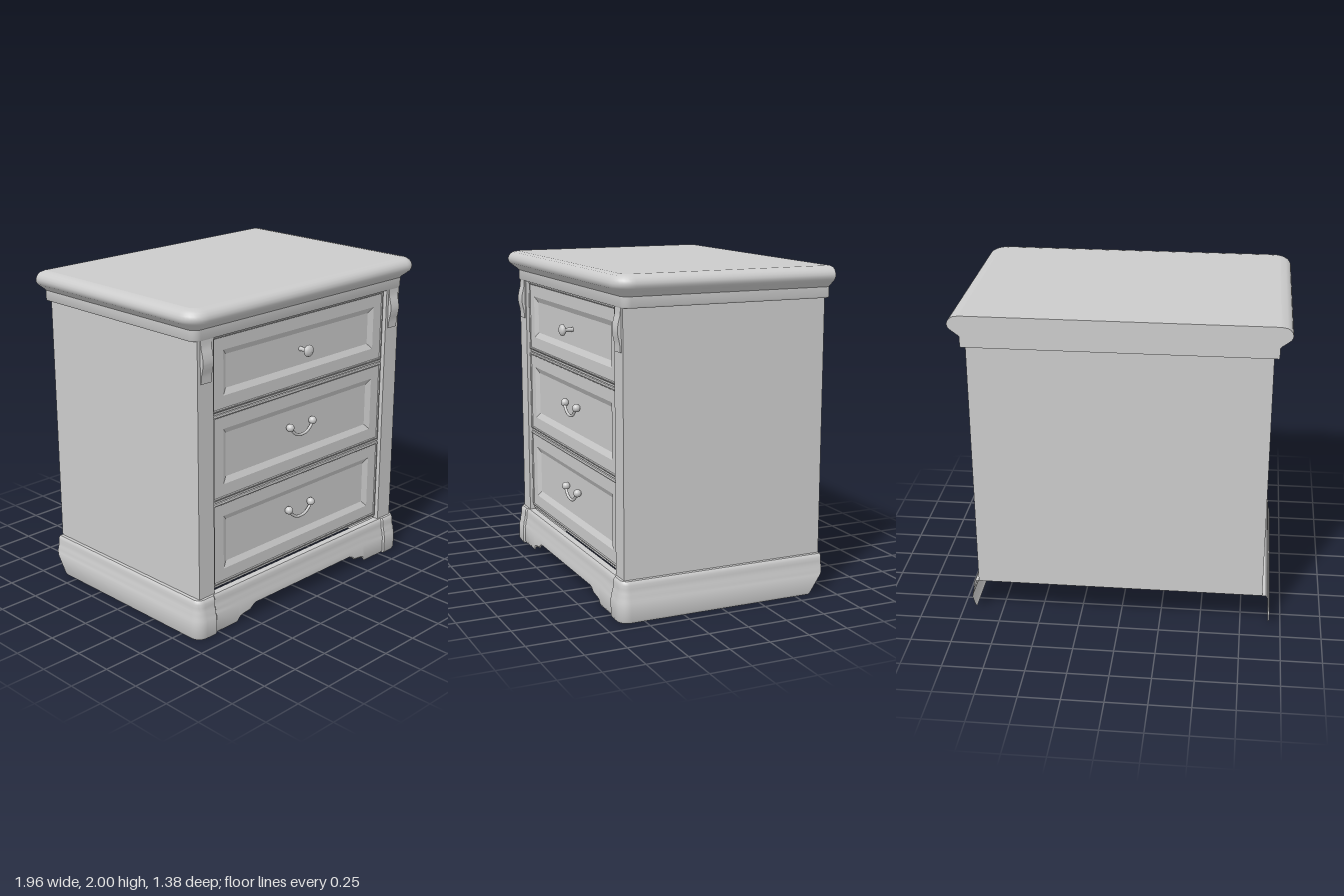
import * as THREE from 'three';
import { toCreasedNormals } from 'three/addons/utils/BufferGeometryUtils.js';

const mat = new THREE.MeshStandardMaterial({ color: 0xcccccc, side: THREE.DoubleSide });

function add(parent, name, geo, x = 0, y = 0, z = 0) {
  const mesh = new THREE.Mesh(geo, mat);
  mesh.name = name;
  mesh.position.set(x, y, z);
  parent.add(mesh);
  return mesh;
}

function indexed(positions, index, crease) {
  const geo = new THREE.BufferGeometry();
  geo.setAttribute('position', new THREE.Float32BufferAttribute(positions, 3));
  geo.setIndex(index);
  return toCreasedNormals(geo, crease);
}

// U-shaped path: +x side, rounded front corners, -x side; each entry is corner centre + normal
function uPath(hx, hz, r, back, frontXs = []) {
  const path = [], steps = 8, cx = hx - r, cz = hz - r;
  path.push({ x: cx, z: back, nx: 1, nz: 0 });
  for (let i = 0; i <= steps; i++) {
    const a = (i / steps) * Math.PI / 2;
    path.push({ x: cx, z: cz, nx: Math.cos(a), nz: Math.sin(a) });
  }
  for (const x of frontXs) path.push({ x, z: cz, nx: 0, nz: 1 });
  const mirrored = path.map(p => ({ ...p, x: -p.x, nx: -p.nx })).reverse();
  return path.concat(mirrored);
}

// Sweep a profile of [offset, height] pairs (bottom to top) along the path
function sweep(path, r, profile, warp = p => p) {
  const pos = [], idx = [], n = profile.length;
  path.forEach((p, i) => {
    profile.forEach(([off, y], j) => {
      const d = r + off;
      const v = warp({ x: p.x + p.nx * d, y, z: p.z + p.nz * d }, p);
      pos.push(v.x, v.y, v.z);
      if (i < path.length - 1 && j < n - 1) {
        const a = i * n + j, b = a + n;
        idx.push(a, a + 1, b + 1, a, b + 1, b);
      }
    });
  });
  return indexed(pos, idx, 0.6);
}

// Moulded top with flat lid and closed back
function buildTop() {
  const g = new THREE.Group();
  g.name = 'top';
  const hx = 0.98, r = 0.12, back = -0.69;
  const profile = [[-0.12, 1.81], [-0.075, 1.81], [-0.07, 1.82], [-0.07, 1.875], [-0.06, 1.885],
    [-0.03, 1.907], [-0.01, 1.923], [-0.002, 1.937], [0, 1.952], [-0.005, 1.968],
    [-0.016, 1.983], [-0.034, 1.994], [-0.07, 2]];
  const path = uPath(hx, 0.69, r, back);
  add(g, 'topMoulding', sweep(path, r, profile));

  const d = r - 0.07;
  const lid = new THREE.Shape(path.map(p => new THREE.Vector2(p.x + p.nx * d, -(p.z + p.nz * d))));
  add(g, 'topLid', new THREE.ShapeGeometry(lid).rotateX(-Math.PI / 2), 0, 2, 0);

  const half = profile.map(([o, y]) => new THREE.Vector2(hx + o, y));
  const other = half.map(v => new THREE.Vector2(-v.x, v.y)).reverse();
  add(g, 'topBack', new THREE.ShapeGeometry(new THREE.Shape(half.concat(other))), 0, 0, back);
  return g;
}

// Plinth skirt: arched cut-out in front, slanted ends at the back
function buildPlinth() {
  const r = 0.07;
  const notch = [[0.785, 0], [0.775, 0.005], [0.595, 0.005], [0.575, 0.03], [0.545, 0.04],
    [0.49, 0.046], [0.465, 0.068], [0.44, 0.08]];
  const profile = [[-0.008, 0], [0, 0.015], [0, 0.12], [-0.006, 0.135], [-0.007, 0.155],
    [-0.013, 0.175], [-0.016, 0.2], [-0.016, 0.222], [-0.021, 0.237], [-0.028, 0.245], [-0.07, 0.245]];
  const path = uPath(0.93, 0.655, r, -0.68, notch.map(n => n[0]));
  const warp = (v, p) => {
    const rise = notch.find(n => n[0] === Math.abs(p.x));
    if (rise && p.nz === 1) {
      if (v.y < 0.12) v.y += rise[1] * (1 - v.y / 0.12);
      if (Math.abs(p.x) < 0.78) v.z -= 0.01;
    }
    if (p.z < 0 && v.y < 0.135) v.z += 0.09 * (1 - v.y / 0.135);
    return v;
  };
  return sweep(path, r, profile, warp);
}

// Drawer front: nested rectangles [inset, z] with a raised rim and a sunken field
function drawerFront(w, h) {
  const rings = [[0, 0.56], [0, 0.588], [0.006, 0.594], [0.012, 0.594], [0.016, 0.588],
    [0.09, 0.588], [0.125, 0.57]];
  const pos = [], idx = [];
  rings.forEach(([inset, z], k) => {
    const x = w / 2 - inset, y = h / 2 - inset;
    pos.push(-x, -y, z, x, -y, z, x, y, z, -x, y, z);
    if (k === rings.length - 1) return;
    for (let c = 0; c < 4; c++) {
      const a = k * 4 + c, b = k * 4 + (c + 1) % 4;
      idx.push(a, b, b + 4, a, b + 4, a + 4);
    }
  });
  const e = (rings.length - 1) * 4;
  idx.push(e, e + 1, e + 2, e, e + 2, e + 3);
  return indexed(pos, idx, 0.1);
}

// Drop handle: two round studs joined by a hanging bow
function buildHandle() {
  const g = new THREE.Group();
  g.name = 'handle';
  for (const s of [-1, 1]) {
    add(g, 'handleStud', new THREE.SphereGeometry(0.025, 20, 14), s * 0.1, 0, 0.592);
    add(g, 'handleStem', new THREE.CylinderGeometry(0.012, 0.012, 0.03, 12).rotateX(Math.PI / 2), s * 0.1, 0, 0.577);
  }
  const bow = new THREE.CatmullRomCurve3([[-0.1, 0], [-0.08, -0.028], [-0.045, -0.055], [0, -0.064],
    [0.045, -0.055], [0.08, -0.028], [0.1, 0]].map(([x, y]) => new THREE.Vector3(x, y, 0.597)));
  add(g, 'handleBow', new THREE.TubeGeometry(bow, 32, 0.009, 10));
  return g;
}

export function createModel() {
  const model = new THREE.Group();
  model.name = 'nightstand';
  model.add(buildTop());
  add(model, 'plinth', buildPlinth());

  // Carcass, open underneath
  const low = 0.245, high = 1.81, tall = high - low, mid = (low + high) / 2;
  add(model, 'backPanel', new THREE.PlaneGeometry(1.76, tall).rotateY(Math.PI), 0, mid, -0.68);
  add(model, 'frontBacking', new THREE.PlaneGeometry(1.76, tall), 0, mid, 0.562);

  // Corbel profile in depth and height
  const corbel = new THREE.Shape();
  corbel.moveTo(0.6, 1.56);
  corbel.lineTo(0.616, 1.56);
  corbel.splineThru([[0.62, 1.61], [0.629, 1.65], [0.633, 1.685], [0.628, 1.725], [0.617, 1.77], [0.614, 1.81]]
    .map(p => new THREE.Vector2(...p)));
  corbel.lineTo(0.6, 1.81);

  for (const s of [-1, 1]) {
    add(model, 'sidePanel', new THREE.PlaneGeometry(1.29, tall).rotateY(s * Math.PI / 2), s * 0.88, mid, -0.035);
    add(model, 'frontPillar', new THREE.BoxGeometry(0.122, tall, 0.05), s * 0.819, mid, 0.585);
    const geo = new THREE.ExtrudeGeometry(corbel, { depth: 0.08, bevelEnabled: false, curveSegments: 4 });
    add(model, 'corbel', toCreasedNormals(geo.rotateY(-Math.PI / 2), 0.6), s * 0.818 + 0.04, 0, 0);
  }

  // Drawers and the rails between them
  for (const [bottom, top] of [[0.275, 0.795], [0.815, 1.335], [1.355, 1.805]]) {
    add(model, 'drawerFront', drawerFront(1.5, top - bottom), 0, (top + bottom) / 2, 0);
    add(model, 'drawerRail', new THREE.BoxGeometry(1.52, 0.012, 0.02), 0, bottom - 0.01, 0.572);
  }
  for (const y of [0.568, 1.108]) {
    const handle = buildHandle();
    handle.position.y = y;
    model.add(handle);
  }

  // Round knob on the top drawer
  const knob = [[0.014, 0], [0.012, 0.045], [0.022, 0.052], [0.034, 0.06], [0.037, 0.068],
    [0.033, 0.078], [0.02, 0.086], [0, 0.089]].map(p => new THREE.Vector2(...p));
  add(model, 'knob', new THREE.LatheGeometry(knob, 28).rotateX(Math.PI / 2), 0, 1.58, 0.57);
  return model;
}
